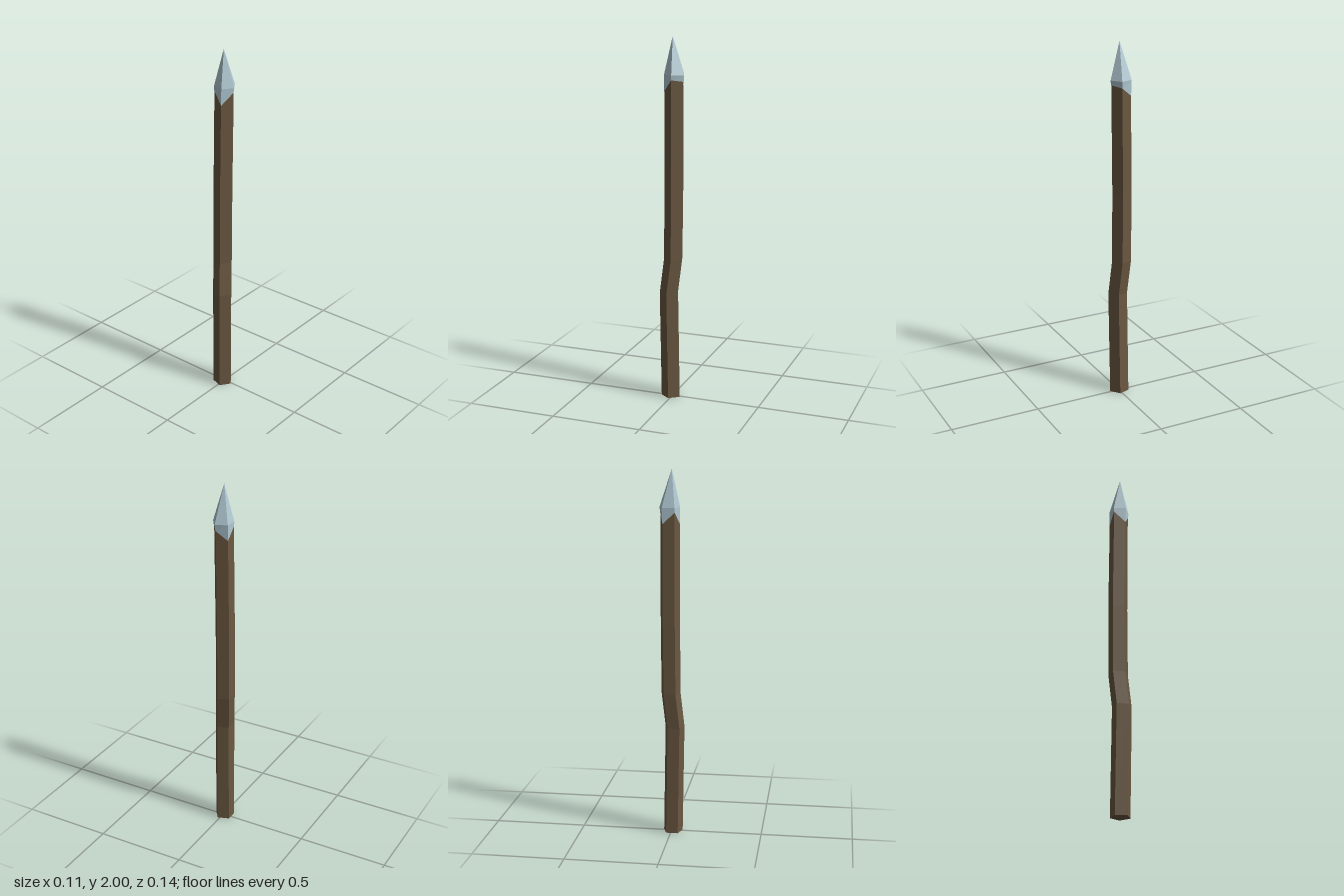
import * as THREE from 'three';

const SIDES = 5;

// One pentagonal ring; y may be a number or one height per corner.
function ring(x, y, z, radius) {
  return Array.from({ length: SIDES }, (_, i) => {
    const a = (i / SIDES) * Math.PI * 2;
    return new THREE.Vector3(
      x + Math.cos(a) * radius,
      Array.isArray(y) ? y[i] : y,
      z + Math.sin(a) * radius
    );
  });
}

// Joins rings from bottom to top into faceted walls.
function loft(rings) {
  const points = [];
  const triangle = (a, b, c) => {
    if (a.distanceTo(b) > 1e-6 && b.distanceTo(c) > 1e-6 && c.distanceTo(a) > 1e-6) points.push(a, b, c);
  };
  for (let r = 0; r < rings.length - 1; r++) {
    const low = rings[r], high = rings[r + 1];
    for (let i = 0; i < SIDES; i++) {
      const j = (i + 1) % SIDES;
      triangle(low[j], low[i], high[i]);
      triangle(low[j], high[i], high[j]);
    }
  }
  const geometry = new THREE.BufferGeometry().setFromPoints(points);
  geometry.computeVertexNormals();
  return geometry;
}

export function createModel() {
  const wood = new THREE.MeshStandardMaterial({ color: 0x6b5841, flatShading: true });
  wood.name = 'brown wood';
  const stone = new THREE.MeshStandardMaterial({ color: 0xb2cad3, flatShading: true });
  stone.name = 'pale blue stone';

  const group = new THREE.Group();
  group.name = 'spear';
  const add = (name, geometry, material) => {
    const mesh = new THREE.Mesh(geometry, material);
    mesh.name = name;
    group.add(mesh);
  };

  // Crooked shaft, closed at the foot
  add('shaft', loft([
    ring(-0.005, 0, 0.008, 0),
    ring(-0.005, 0, 0.008, 0.055),
    ring(0.001, 0.6, 0.016, 0.055),
    ring(-0.012, 0.79, -0.004, 0.055),
    ring(-0.013, 1.18, -0.008, 0.055),
    ring(-0.006, 1.79, -0.01, 0.054),
    ring(-0.006, 1.79, -0.01, 0),
  ]), wood);

  // Pointed head with a jagged lower edge wrapping the shaft
  add('spearHead', loft([
    ring(-0.006, [1.775, 1.71, 1.775, 1.715, 1.765], -0.01, 0.0555),
    ring(-0.005, 1.8, -0.012, 0.058),
    ring(-0.005, 2, 0.001, 0),
  ]), stone);

  return group;
}
